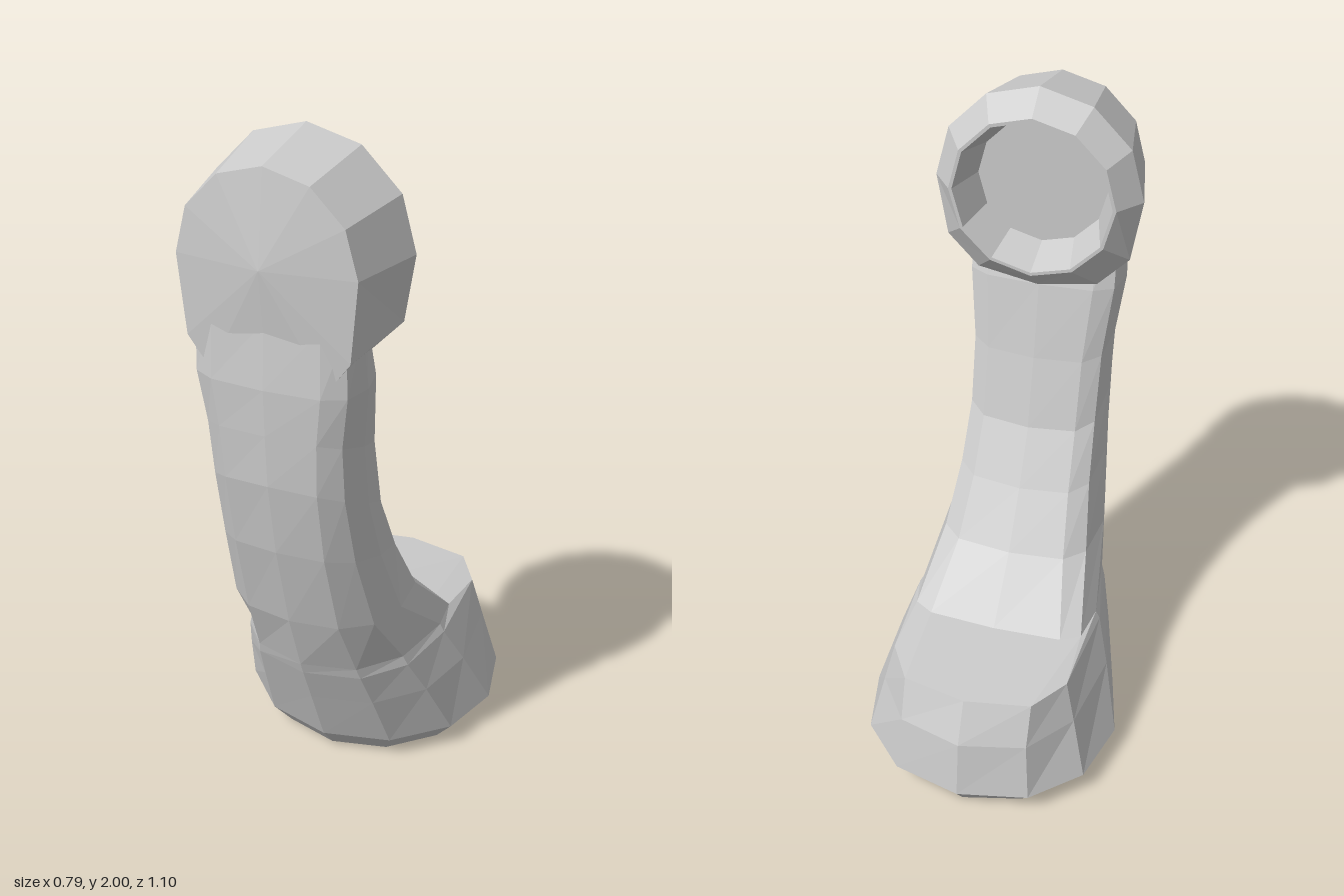
import * as THREE from 'three';

const SIDES = 12;
const material = new THREE.MeshStandardMaterial({ color: 0xcccccc, flatShading: true });

// signed power, squares off a circular section when p < 1
const spow = (v, p) => (Math.abs(v) < 1e-6 ? 0 : Math.sign(v) * Math.pow(Math.abs(v), p));

// section from front [z, y] to back [z, y], half width w, widest at fraction mid from the back
function section(front, back, w, pFront = 1, pBack = pFront, mid = 0.5) {
  const points = [];
  for (let i = 0; i < SIDES; i++) {
    const a = (i / SIDES) * Math.PI * 2;
    const c = Math.cos(a);
    const p = c >= 0 ? pFront : pBack;
    const t = mid + spow(c, p) * (c >= 0 ? 1 - mid : mid);
    points.push([
      w * spow(Math.sin(a), p),
      THREE.MathUtils.lerp(back[1], front[1], t),
      THREE.MathUtils.lerp(back[0], front[0], t),
    ]);
  }
  return points;
}

// round section at height y, centred on z = cz
const round = (y, r, cz = 0) => section([cz + r, y], [cz - r, y], r);

// earpiece section: round above, squared off below to run into the handle
const earRing = (y, r, drop, p) => section([drop, y], [-r, y], r, p, 1, r / (r + drop));

// skin joining successive sections
function loft(sections) {
  const n = SIDES;
  const index = [];
  for (let s = 0; s < sections.length - 1; s++) {
    for (let i = 0; i < n; i++) {
      const j = (i + 1) % n;
      const a = s * n + i, b = s * n + j, c = a + n, d = b + n;
      index.push(a, b, d, a, d, c);
    }
  }
  const geometry = new THREE.BufferGeometry();
  geometry.setAttribute('position', new THREE.Float32BufferAttribute(sections.flat(2), 3));
  geometry.setIndex(index);
  geometry.computeVertexNormals();
  return geometry;
}

function part(name, geometry) {
  const mesh = new THREE.Mesh(geometry, material);
  mesh.name = name;
  return mesh;
}

export function createModel() {
  const group = new THREE.Group();
  group.name = 'telephoneHandset';

  // shared seam between mouthpiece and handle
  const seam = section([0.375, 0.43], [-0.16, 0.415], 0.284, 0.85, 0.45, 0.3);

  // mouthpiece: recess floor, sharp rim, bevel, flared cup and flat shoulder
  group.add(part('mouthpiece', loft([
    round(0.2, 0, -0.16),
    round(0.2, 0.25, -0.16),
    round(0, 0.315, -0.16),
    round(0, 0.33, -0.16),
    section([0.23, 0.075], [-0.545, 0.08], 0.397, 1, 0.92),
    section([0.31, 0.27], [-0.52, 0.27], 0.34, 0.92, 0.8, 0.55),
    section([0.36, 0.39], [-0.46, 0.4], 0.297, 0.85, 0.6, 0.56),
    seam,
  ])));

  // curved handle, its upper end buried in the earpiece
  const handle = [
    [[0.44, 0.62], [0.0, 0.59], 0.247, 0.8],
    [[0.505, 0.88], [0.11, 0.76], 0.222, 0.72],
    [[0.54, 1.1], [0.2, 0.93], 0.212, 0.65],
    [[0.547, 1.25], [0.255, 1.15], 0.213, 0.6],
    [[0.55, 1.38], [0.3, 1.38], 0.235, 0.6],
    [[0.535, 1.56], [0.36, 1.56], 0.23, 0.6],
    [[0.535, 1.56], [0.36, 1.56], 0, 0.6],
  ].map(([front, back, w, p]) => section(front, back, w, p, 0.55));
  group.add(part('handle', loft([seam, ...handle])));

  // earpiece: recess floor, sharp rim, widest ring and slightly domed front
  const earpiece = loft([
    round(0.33, 0),
    round(0.33, 0.19),
    round(0.21, 0.23),
    round(0.21, 0.24),
    earRing(0.285, 0.3, 0.31, 0.75),
    earRing(0.52, 0.25, 0.33, 0.6),
    round(0.555, 0),
  ]);
  earpiece.rotateX(Math.PI / 2).translate(0, 1.7, 0);
  group.add(part('earpiece', earpiece));

  return group;
}
